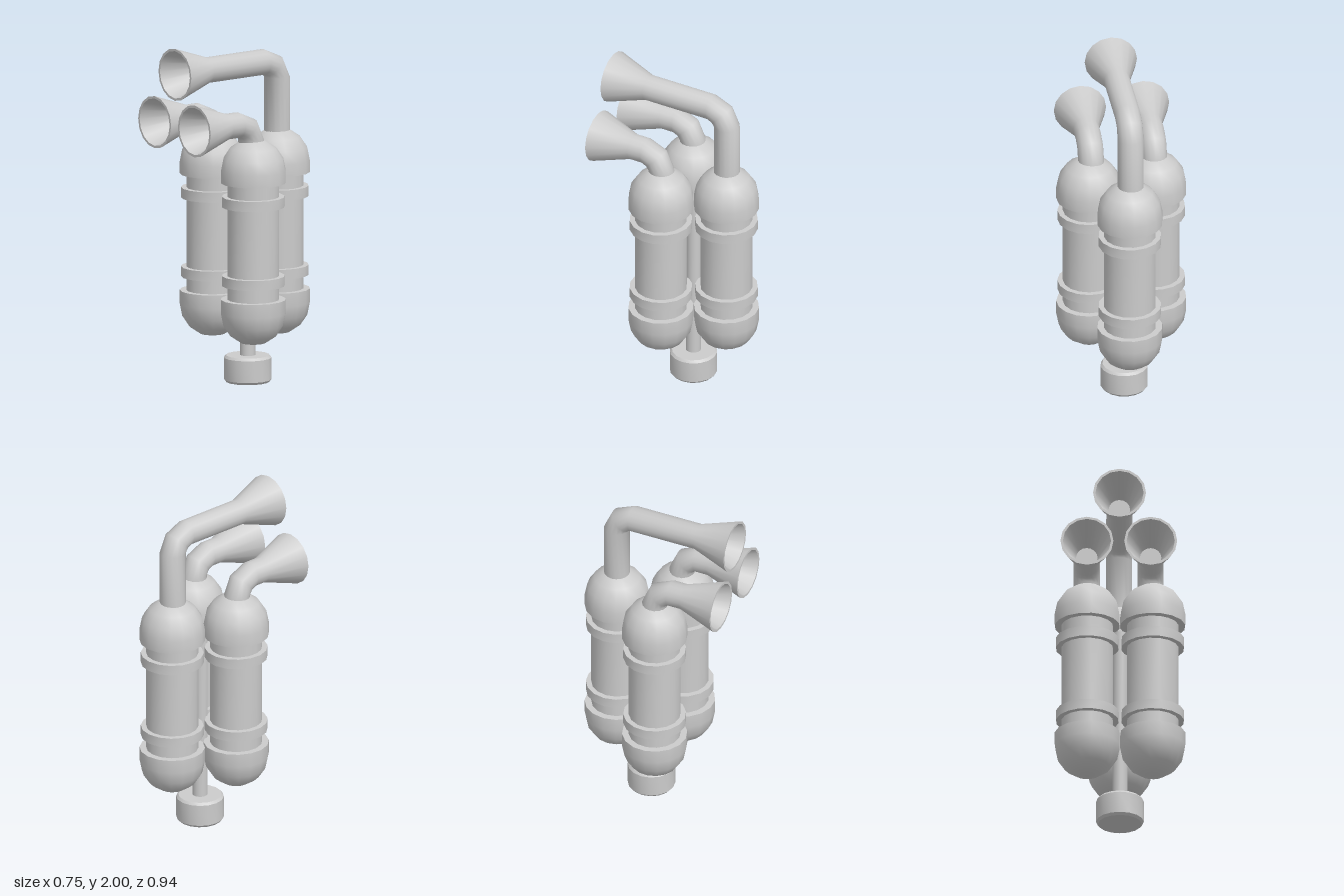
import * as THREE from 'three';
import { toCreasedNormals } from 'three/addons/utils/BufferGeometryUtils.js';

const SIDES = 16;
const material = new THREE.MeshStandardMaterial({ color: 0xcccccc });

function add(parent, name, geometry, crease = 0.6) {
  const mesh = new THREE.Mesh(toCreasedNormals(geometry, crease), material);
  mesh.name = name;
  parent.add(mesh);
  return mesh;
}

function lathe(points) {
  return new THREE.LatheGeometry(points.map(([r, y]) => new THREE.Vector2(r, y)), SIDES);
}

function cylinder(radius, y0, y1) {
  return new THREE.CylinderGeometry(radius, radius, y1 - y0, SIDES).translate(0, (y0 + y1) / 2, 0);
}

// Rounded cap: flat inner face, short straight skirt, then a hemisphere
function capPoints(radius, skirt) {
  const points = [[0, 0], [radius, 0]];
  for (let i = 0; i <= 4; i++) {
    const a = (i / 4) * Math.PI / 2;
    points.push([i === 4 ? 0 : radius * Math.cos(a), skirt + radius * Math.sin(a)]);
  }
  return points;
}

// Upright tank with two domed ends and two clamp bands
function makeTank() {
  const tank = new THREE.Group();
  tank.name = 'tank';
  add(tank, 'tankBody', cylinder(0.15, 0.5, 1.22));
  add(tank, 'topDome', lathe(capPoints(0.188, 0.07)).translate(0, 1.2, 0));
  add(tank, 'bottomDome', lathe(capPoints(0.188, 0.08)).rotateX(Math.PI).translate(0, 0.52, 0));
  add(tank, 'lowerBand', cylinder(0.181, 0.6, 0.658));
  add(tank, 'upperBand', cylinder(0.181, 1.06, 1.12));
  return tank;
}

// Skin over rings [z, y, radius, tilt]; tilt 0 faces up, 90 faces forward
function loft(rings) {
  const positions = [], index = [];
  rings.forEach(([z, y, r, tilt], i) => {
    const t = THREE.MathUtils.degToRad(tilt);
    for (let j = 0; j < SIDES; j++) {
      const a = (j / SIDES) * Math.PI * 2;
      const n = r * Math.sin(a);
      positions.push(r * Math.cos(a), y + n * Math.sin(t), z - n * Math.cos(t));
      if (i === rings.length - 1) continue;
      const p = i * SIDES + j, q = i * SIDES + (j + 1) % SIDES;
      index.push(p, q, p + SIDES, q, q + SIDES, p + SIDES);
    }
  });
  const geometry = new THREE.BufferGeometry();
  geometry.setAttribute('position', new THREE.Float32BufferAttribute(positions, 3));
  geometry.setIndex(index);
  return geometry;
}

// Bent pipe ending in a hollow flared bell
function hornGeometry(z, bendY, y) {
  const r = 0.075;
  return loft([
    [z, 1.38, r, 0],
    [z, bendY, r, 0],
    [z + 0.032, y - 0.031, r, 45],
    [z + 0.1, y, r, 90],
    [0.235, y, r, 90],
    [0.467, y, 0.152, 90],
    [0.467, y, 0.138, 90],
    [0.235, y, 0.062, 90],
    [0.235, y, 0, 90],
  ]);
}

export function createModel() {
  const model = new THREE.Group();
  model.name = 'hornTanks';
  const axisZ = -0.063;

  // Three tanks spaced evenly around the central stem
  for (let i = 0; i < 3; i++) {
    const holder = new THREE.Group();
    holder.name = ['backTank', 'leftTank', 'rightTank'][i];
    const tank = makeTank();
    tank.position.z = -0.217;
    holder.add(tank);
    holder.position.z = axisZ;
    holder.rotation.y = [0, -1, 1][i] * Math.PI * 2 / 3;
    model.add(holder);
  }

  // Tall rear horn and two short front horns
  add(model, 'backHorn', hornGeometry(-0.28, 1.755, 1.85), 0.9).position.x = -0.004;
  add(model, 'leftHorn', hornGeometry(0.05, 1.45, 1.546), 0.9).position.x = 0.175;
  add(model, 'rightHorn', hornGeometry(0.05, 1.45, 1.546), 0.9).position.x = -0.191;

  // Central stem and bevelled foot
  add(model, 'stem', cylinder(0.044, 0.12, 1.2)).position.z = axisZ;
  add(model, 'foot', lathe([
    [0, 0], [0.125, 0], [0.137, 0.014], [0.137, 0.141], [0.125, 0.155], [0, 0.155],
  ])).position.z = axisZ;

  return model;
}
